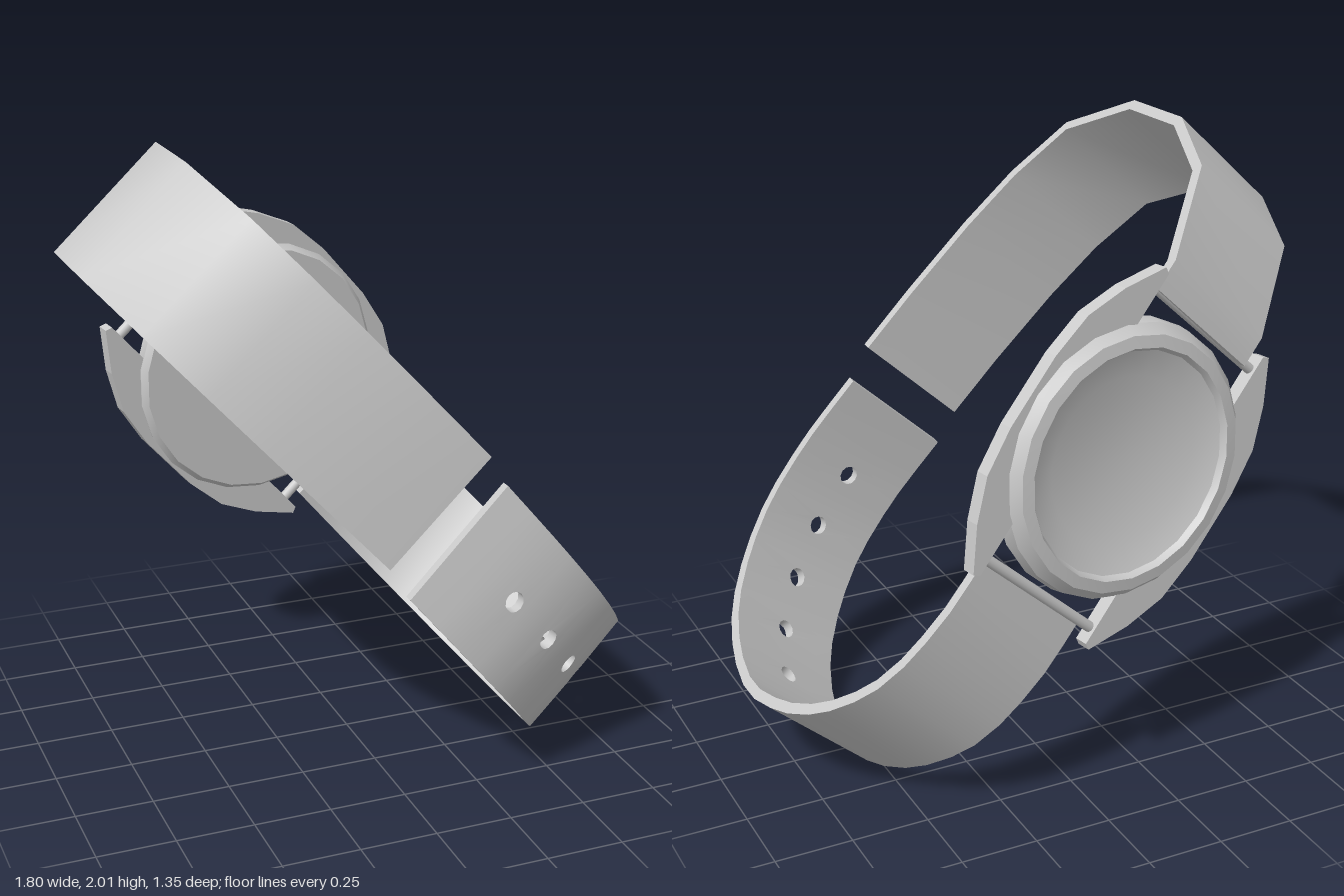
import * as THREE from 'three';
import { toCreasedNormals } from 'three/addons/utils/BufferGeometryUtils.js';

const material = new THREE.MeshStandardMaterial({ color: 0xcccccc });
const THICK = 0.035, HALF = 0.223;

function addMesh(parent, geometry, name) {
  const mesh = new THREE.Mesh(geometry, material);
  mesh.name = name;
  parent.add(mesh);
  return mesh;
}

// Outer face of a strap seen from its edge: x along the watch, y towards the front
function strapCurve(points) {
  const curve = new THREE.CatmullRomCurve3(points.map(([x, y]) => new THREE.Vector3(x, y, 0)), false, 'centripetal');
  curve.arcLengthDivisions = (points.length - 1) * 20;
  return curve;
}

// Flat panels, some punched with a hole, bent along the curve
function strapGeometry(curve, cuts, holes, drift, slope) {
  const length = curve.getLength();
  const out = [];
  for (let i = 0; i < cuts.length - 1; i++) {
    const [a, b] = [cuts[i], cuts[i + 1]];
    const shape = new THREE.Shape([[a, -HALF], [b, -HALF], [b, HALF], [a, HALF]].map(p => new THREE.Vector2(...p)));
    for (const h of holes) {
      if (h > a && h < b) shape.holes.push(new THREE.Path().absarc(h, 0, 0.033, 0, Math.PI * 2, true));
    }
    let panel = new THREE.ExtrudeGeometry(shape, { depth: THICK, bevelEnabled: false, curveSegments: 6 });
    if (panel.index) panel = panel.toNonIndexed();
    const pos = panel.attributes.position;
    for (let k = 0; k < pos.count; k += 3) {
      // leave out the walls between neighbouring panels
      const onCut = (c) => [0, 1, 2].every(j => Math.abs(pos.getX(k + j) - c) < 1e-5);
      if ((i > 0 && onCut(a)) || (i < cuts.length - 2 && onCut(b))) continue;
      for (let j = 0; j < 3; j++) {
        const u = THREE.MathUtils.clamp(pos.getX(k + j) / length, 0, 1);
        const t = pos.getY(k + j), d = pos.getZ(k + j) - THICK;
        const p = curve.getPointAt(u), g = curve.getTangentAt(u);
        const s = p.x - g.y * d;
        out.push(s, t + drift(s), p.y + g.x * d + slope * t);
      }
    }
  }
  const geometry = new THREE.BufferGeometry();
  geometry.setAttribute('position', new THREE.Float32BufferAttribute(out, 3));
  return toCreasedNormals(geometry, 1.0);
}

function addStraps(parent) {
  // Long strap, coarse bends at its control points
  const upperPoints = [[-0.62, -0.545], [-0.72, -0.53], [-1.01, -0.34], [-1.125, -0.09], [-1.118, 0.195],
    [-0.96, 0.455], [-0.73, 0.55], [-0.5, 0.595], [-0.2, 0.625], [0.035, 0.635]];
  const upper = strapCurve(upperPoints);
  const lengths = upper.getLengths();
  const upperCuts = upperPoints.map((_, i) => lengths[i * 20]);
  addMesh(parent, strapGeometry(upper, upperCuts, [], () => 0.032, -0.05), 'upperStrap');

  // Short strap with buckle holes
  const lower = strapCurve([[0.155, 0.63], [0.42, 0.65], [0.67, 0.615], [0.86, 0.515], [1.0, 0.38], [1.09, 0.2],
    [1.125, 0.01], [1.09, -0.17], [1.02, -0.33], [0.9, -0.48], [0.75, -0.585], [0.5, -0.635], [0.31, -0.625]]);
  const length = lower.getLength();
  const cuts = [0, 0.12], holes = [];
  for (let c = 0.28; c + 0.05 < length - 0.03; c += 0.21) {
    cuts.push(c - 0.05, c + 0.05);
    if (holes.length < 6) holes.push(c);
  }
  cuts.push(length);
  addMesh(parent, strapGeometry(lower, cuts, holes, s => 0.015 - 0.045 * s, -0.09), 'lowerStrap');
}

function addWatchCase(parent) {
  const body = new THREE.Group();
  body.name = 'watchCase';
  const x = new THREE.Vector3(1, -0.023, -0.125).normalize();
  const z = new THREE.Vector3().crossVectors(x, new THREE.Vector3(0.023, 1, -0.085)).normalize();
  const y = new THREE.Vector3().crossVectors(z, x);
  body.quaternion.setFromRotationMatrix(new THREE.Matrix4().makeBasis(x, y, z));
  body.position.set(-0.163, -0.007, -0.56);
  parent.add(body);

  // Round housing with a sunken dial on the back side
  const profile = [[0, -0.02], [0.265, -0.02], [0.35, -0.05], [0.362, -0.07], [0.4, -0.065], [0.43, -0.03],
    [0.437, 0.02], [0.42, 0.043], [0, 0.043]].map(p => new THREE.Vector2(...p));
  const housing = new THREE.LatheGeometry(profile, 22).rotateX(Math.PI / 2);
  addMesh(body, toCreasedNormals(housing, 0.4), 'housing');

  // Side pieces ending in lugs
  const half = [[0.12, 0.445], [0.27, 0.423], [0.4, 0.36], [0.525, 0.272], [0.515, 0.25], [0.34, 0.25], [0.28, 0.3]];
  const outline = [...half, [0, 0.4], ...half.map(([a, b]) => [-a, b]).reverse()];
  for (const side of [1, -1]) {
    const shape = new THREE.Shape(outline.map(([a, b]) => new THREE.Vector2(a * side, b * side)));
    const lugs = new THREE.ExtrudeGeometry(shape, { depth: 0.05, bevelEnabled: false });
    addMesh(body, lugs, side > 0 ? 'leftLugs' : 'rightLugs').position.z = -0.035;
  }

  // Strap pins between the lugs
  for (const end of [1, -1]) {
    const pin = addMesh(body, new THREE.CylinderGeometry(0.017, 0.017, 0.53, 12), end > 0 ? 'lowerPin' : 'upperPin');
    pin.position.set(end * 0.465, 0, -0.008);
  }
}

export function createModel() {
  const model = new THREE.Group();
  model.name = 'wristwatch';
  const watch = new THREE.Group();
  watch.name = 'watch';
  watch.rotation.z = Math.atan2(-0.738, 0.675);
  watch.position.y = 1;
  model.add(watch);
  addStraps(watch);
  addWatchCase(watch);
  return model;
}
